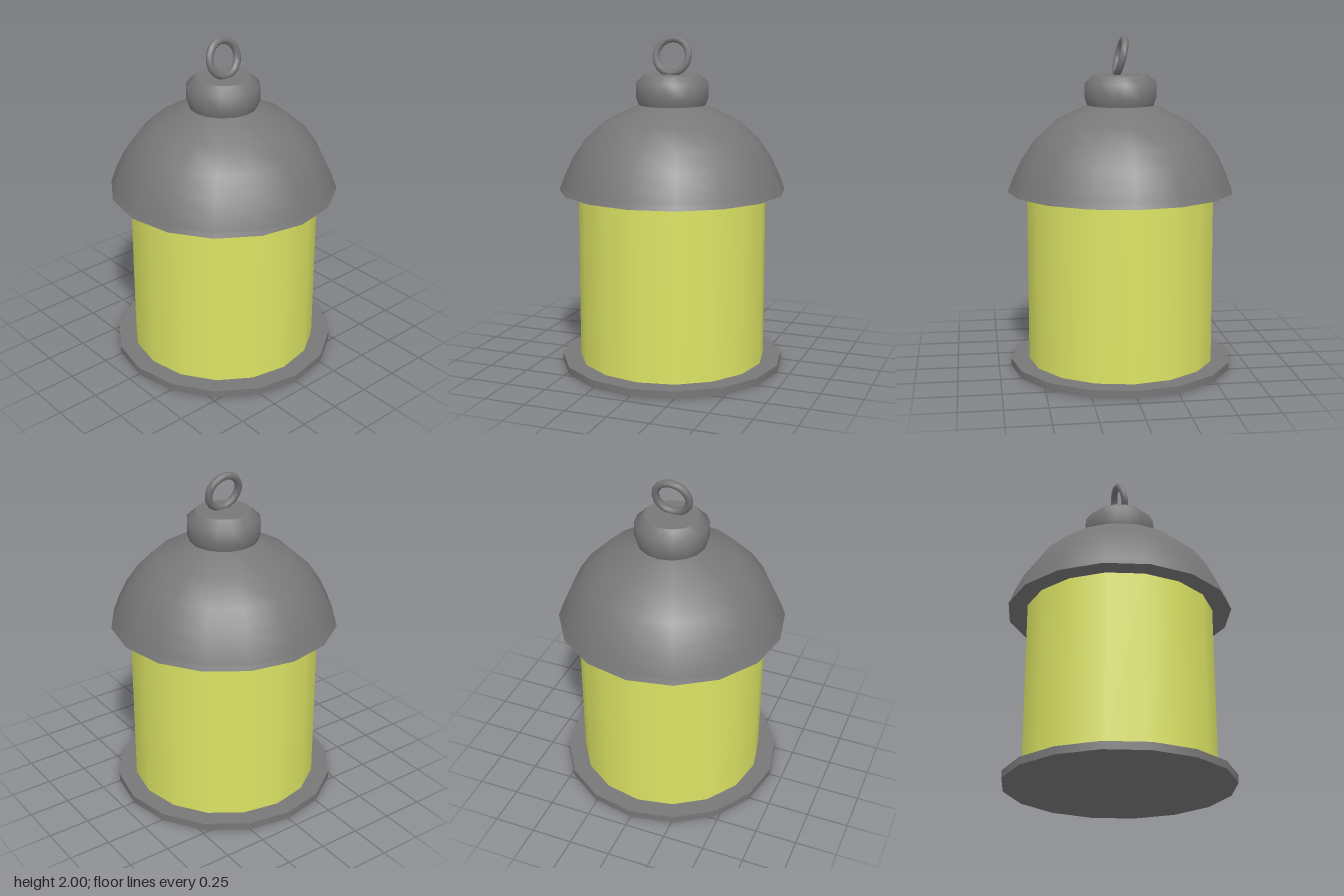
import * as THREE from 'three';

const SIDES = 16;

export function createModel() {
  const group = new THREE.Group();
  const metal = new THREE.MeshStandardMaterial({ color: 0x777777 });
  const glass = new THREE.MeshStandardMaterial({ color: 0xdce464 });

  const add = (name, geometry, material, y = 0) => {
    const mesh = new THREE.Mesh(geometry, material);
    mesh.name = name;
    mesh.position.y = y;
    group.add(mesh);
    return mesh;
  };
  const lathe = (points) =>
    new THREE.LatheGeometry(points.map(([r, y]) => new THREE.Vector2(r, y)), SIDES);

  // Thin base plate and glowing body
  add('basePlate', new THREE.CylinderGeometry(0.675, 0.675, 0.045, SIDES), metal, 0.0225);
  add('glassBody', new THREE.CylinderGeometry(0.565, 0.565, 1.045, SIDES, 1, true), glass, 0.5625);

  // Domed roof with a narrow lip, closed underneath
  add('roofLip', lathe([[0.68, 1.08], [0.668, 1.108]]), metal);
  add('roofDome', lathe([
    [0.668, 1.108], [0.645, 1.17], [0.595, 1.275], [0.52, 1.385],
    [0.4, 1.495], [0.2, 1.59],
  ]), metal);
  add('roofUnderside', lathe([[0, 1.08], [0.68, 1.08]]), metal);

  // Collar on the roof: neck, bulge, bevelled shoulder and flat top
  add('collar', lathe([[0.2, 1.59], [0.216, 1.635], [0.216, 1.722], [0.163, 1.77]]), metal);
  add('collarTop', lathe([[0.163, 1.77], [0, 1.77]]), metal);

  // Hanging ring, leaning back
  const ring = add('hangingRing', new THREE.TorusGeometry(0.103, 0.022, 8, 16), metal, 1.878);
  ring.position.z = 0.002;
  ring.rotation.x = -0.23;

  return group;
}
